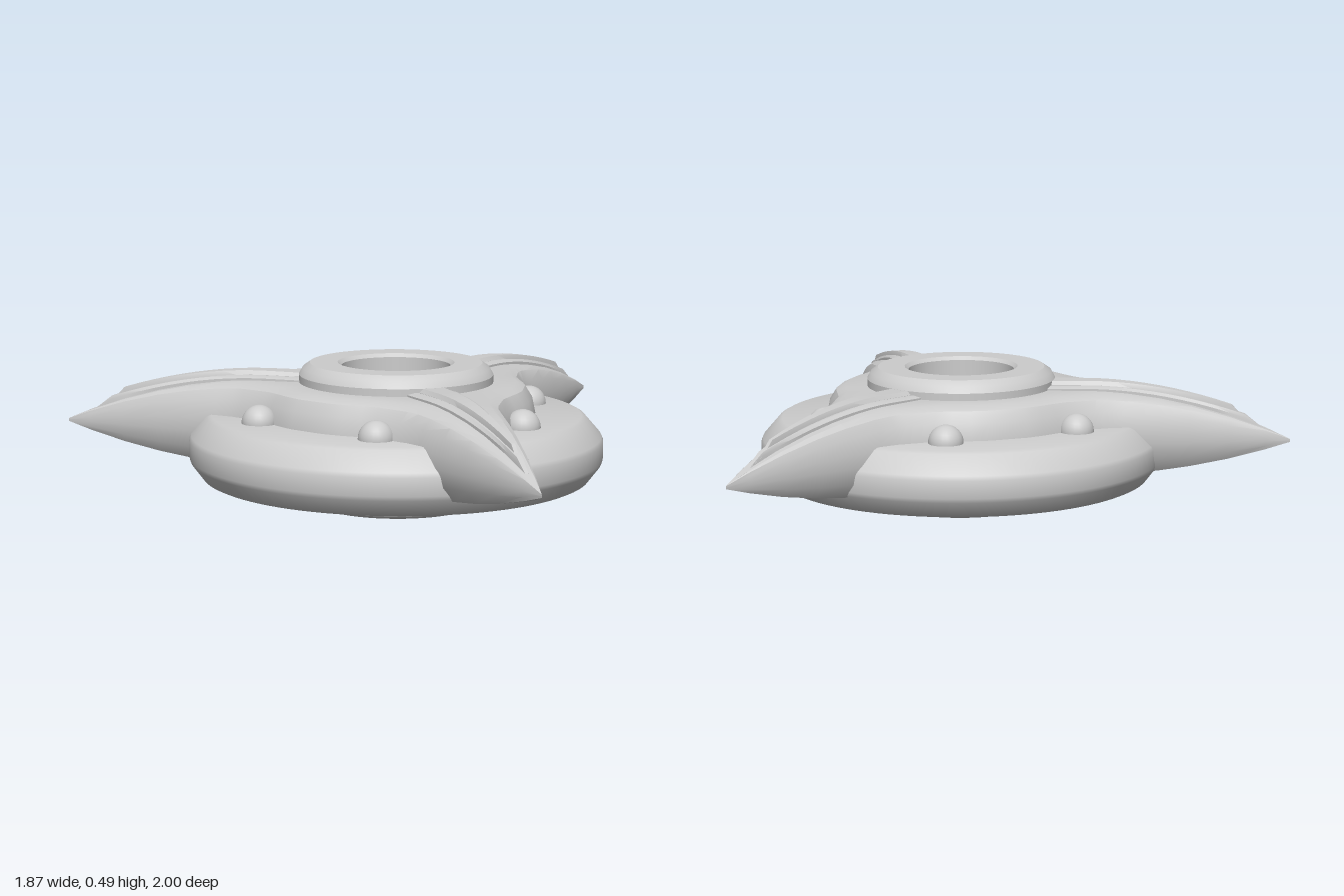
import * as THREE from 'three';
import { toCreasedNormals } from 'three/addons/utils/BufferGeometryUtils.js';

const SPIKES = 3;
const START = THREE.MathUtils.degToRad(51.8);
const TIP = 1.165;

// Height of the star's upper and lower skin at a distance from the hub axis
const spread = (r) => THREE.MathUtils.clamp((r - 0.45) / (TIP - 0.45), 0, 1);
const topY = (r) => 0.42 - 0.165 * spread(r) ** 1.9;
const bottomY = (r) => 0.13 + 0.115 * spread(r) ** 2;

// Skin stacked loops of points, with optional flat ends
function loft(loops, closedEnds = false) {
  const n = loops[0].length;
  const index = [];
  for (let l = 0; l < loops.length - 1; l++) {
    for (let i = 0; i < n; i++) {
      const a = l * n + i, b = l * n + (i + 1) % n;
      index.push(a, a + n, b, b, a + n, b + n);
    }
  }
  if (closedEnds) {
    const last = (loops.length - 1) * n;
    for (let i = 1; i < n - 1; i++) {
      index.push(0, i, i + 1, last, last + i + 1, last + i);
    }
  }
  const geometry = new THREE.BufferGeometry();
  geometry.setAttribute('position', new THREE.Float32BufferAttribute(loops.flat(2), 3));
  geometry.setIndex(index);
  return toCreasedNormals(geometry, 0.5);
}

// One loop of the star: k narrows the outline, f runs from lower to upper skin,
// reach pulls the points in towards the hub
function starLoop(k, f, reach = TIP) {
  const blade = [[1.08, 0.026], [0.95, 0.064], [0.82, 0.1], [0.71, 0.13], [0.6, 0.16], [0.54, 0.18], [0.5, 0.203]];
  const hub = [[29, 0.495], [36, 0.483], [44, 0.48], [52, 0.48]];
  const half = [];
  for (const [r, w] of blade) half.push([r, w * k]);
  for (const [deg, radius] of hub) {
    const a = THREE.MathUtils.degToRad(deg), r = radius - (1 - k) * 0.17;
    half.push([r * Math.cos(a), r * Math.sin(a)]);
  }
  const mirrored = half.map(([x, z]) => [x, -z]).reverse();
  const sector = [...mirrored, [TIP, 0], ...half];
  const loop = [];
  for (let s = 0; s < SPIKES; s++) {
    const a = START + s * Math.PI * 2 / SPIKES;
    for (const [x, z] of sector) {
      const r = Math.min(Math.hypot(x, z), reach), angle = a + Math.atan2(z, x);
      loop.push([r * Math.cos(angle), THREE.MathUtils.lerp(bottomY(r), topY(r), f), r * Math.sin(angle)]);
    }
  }
  return loop;
}

// Raised tapering rib that follows the top of a spike
function ribGeometry(length, width, height, rise) {
  const loops = [];
  const steps = 14;
  for (let i = 0; i <= steps; i++) {
    const t = i / steps, r = 0.3 + t * (length - 0.3);
    const w = width * (1 - t) + 0.006, y = topY(r);
    const h = i === steps ? 0 : height + rise * t;
    loops.push([[r, y - 0.03, w], [r, y + h * 0.5, w], [r, y + h, w * 0.75],
      [r, y + h, -w * 0.75], [r, y + h * 0.5, -w], [r, y - 0.03, -w]]);
  }
  return loft(loops, true);
}

function lathe(profile) {
  const points = profile.map(([x, y]) => new THREE.Vector2(x, y));
  return toCreasedNormals(new THREE.LatheGeometry(points, 96), 0.5);
}

export function createModel() {
  const model = new THREE.Group();
  model.name = 'throwingStar';
  const metal = new THREE.MeshStandardMaterial({ color: 0xcccccc });
  metal.name = 'greyMetal';

  const add = (name, geometry, parent = model) => {
    const mesh = new THREE.Mesh(geometry, metal);
    mesh.name = name;
    parent.add(mesh);
    return mesh;
  };

  // Bevelled round base
  add('baseDisc', lathe([[0.25, 0.09], [0.65, 0.09], [0.665, 0.097], [0.705, 0.15], [0.71, 0.165], [0.71, 0.225],
    [0.704, 0.24], [0.65, 0.302], [0.635, 0.31], [0.25, 0.31]]));

  // Central ring with an open bore
  add('hubRing', lathe([[0.187, 0.012], [0.2, 0], [0.29, 0], [0.315, 0.012], [0.333, 0.04], [0.333, 0.445],
    [0.32, 0.468], [0.295, 0.485], [0.2, 0.485], [0.187, 0.473], [0.187, 0.012]]));

  // Three-pointed star body with chamfered edges, closed under the hub ring
  const layers = [[0, 0], [0.65, 0], [0.9, 0.18], [1, 0.42], [1, 0.6], [0.92, 0.82], [0.78, 0.95], [0.6, 1], [0, 1]];
  const loops = layers.map(([k, f]) => starLoop(k, f));
  add('starBody', loft([starLoop(0, 0, 0.28), ...loops, starLoop(0, 1, 0.28)]));

  // Ribs on each spike and a pair of rivets beside it
  const wideRib = ribGeometry(1.06, 0.085, 0.011, 0.012);
  const narrowRib = ribGeometry(1.01, 0.045, 0.024, 0.016);
  const rivet = new THREE.SphereGeometry(0.06, 24, 16);
  for (let s = 0; s < SPIKES; s++) {
    const spike = new THREE.Group();
    spike.name = 'spikeDetails';
    spike.rotation.y = -(START + s * Math.PI * 2 / SPIKES);
    add('outerRib', wideRib, spike);
    add('innerRib', narrowRib, spike);
    for (const deg of [29, -34]) {
      const a = THREE.MathUtils.degToRad(deg);
      add('rivet', rivet, spike).position.set(0.507 * Math.cos(a), 0.312, 0.507 * Math.sin(a));
    }
    model.add(spike);
  }

  // Shift the hub so that the whole outline is centred
  for (const part of model.children) part.position.set(0.215, 0, 0.083);
  return model;
}
